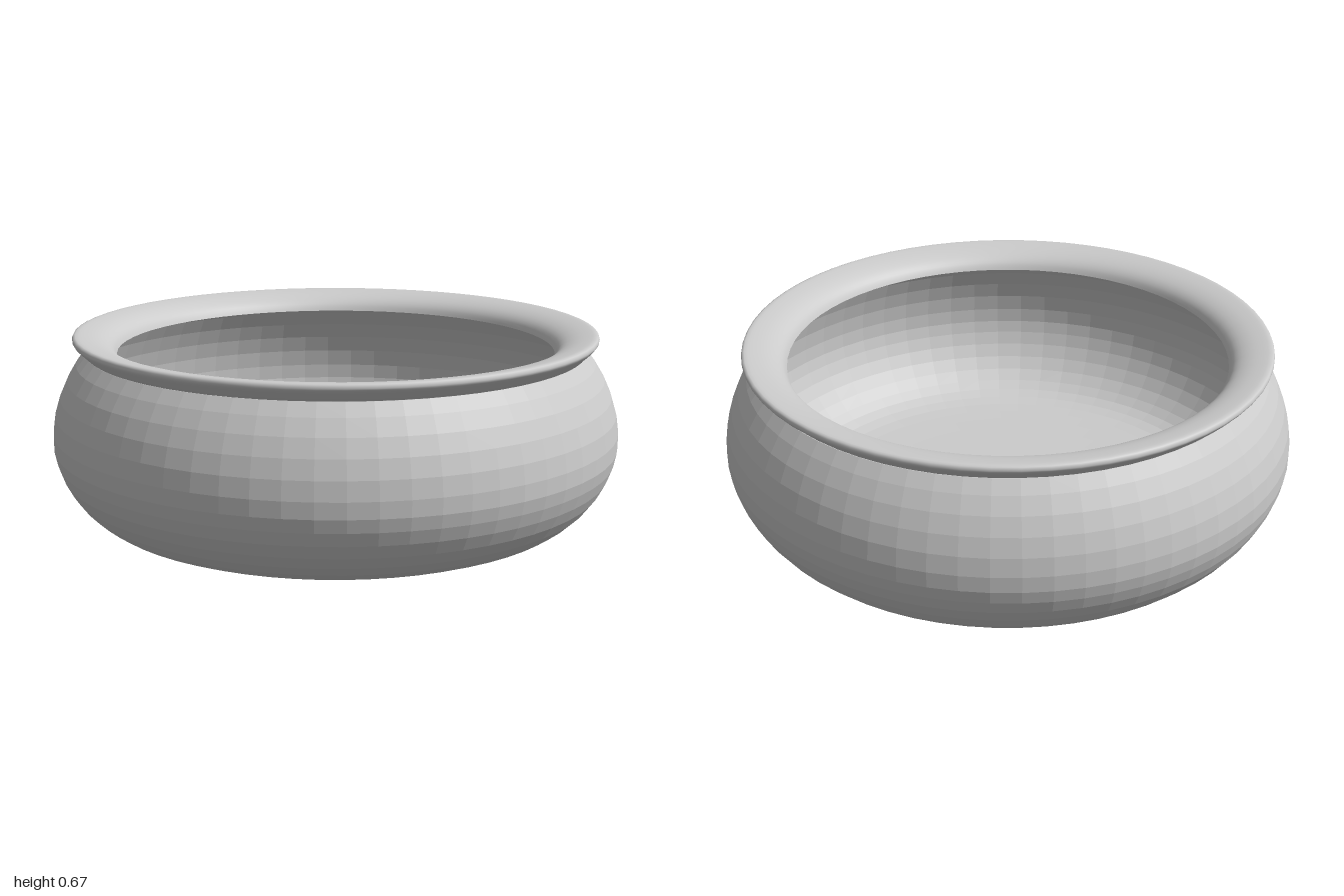
import * as THREE from 'three';

const SIDES = 64;
const points = (list) => list.map(([r, y]) => new THREE.Vector2(r, y));
// Smooth profile sampled into even bands
const curve = (list, bands) => new THREE.SplineCurve(points(list)).getPoints(bands);

function lathe(name, profile, flatShading) {
  const material = new THREE.MeshStandardMaterial({ color: 0xcccccc, flatShading, side: THREE.DoubleSide });
  const mesh = new THREE.Mesh(new THREE.LatheGeometry(profile, SIDES), material);
  mesh.name = name;
  return mesh;
}

export function createModel() {
  const group = new THREE.Group();
  group.name = 'bowl';

  // Thin rounded wall, full at the bottom, on a wide, almost flat base
  const wall = curve([
    [0.5, 0], [0.6, 0.002], [0.69, 0.005], [0.765, 0.011], [0.825, 0.027], [0.875, 0.058], [0.925, 0.107],
    [0.965, 0.17], [0.99, 0.235], [1, 0.3], [0.992, 0.385], [0.966, 0.47], [0.926, 0.548], [0.88, 0.61],
  ], 18);
  group.add(lathe('bowlWall', [new THREE.Vector2(0, 0), ...wall], true));

  // Flared lip, rolled over the outer edge and curving down into the mouth
  const lip = curve([
    [0.878, 0.61], [0.9, 0.63], [0.916, 0.646], [0.922, 0.658], [0.914, 0.672],
    [0.88, 0.669], [0.84, 0.66], [0.805, 0.645], [0.782, 0.625], [0.77, 0.602],
  ], 24);
  group.add(lathe('lip', lip, false));

  // Underside joining the lip's inner edge to the wall
  group.add(lathe('lipUnderside', points([[0.77, 0.602], [0.878, 0.61]]), false));

  return group;
}
